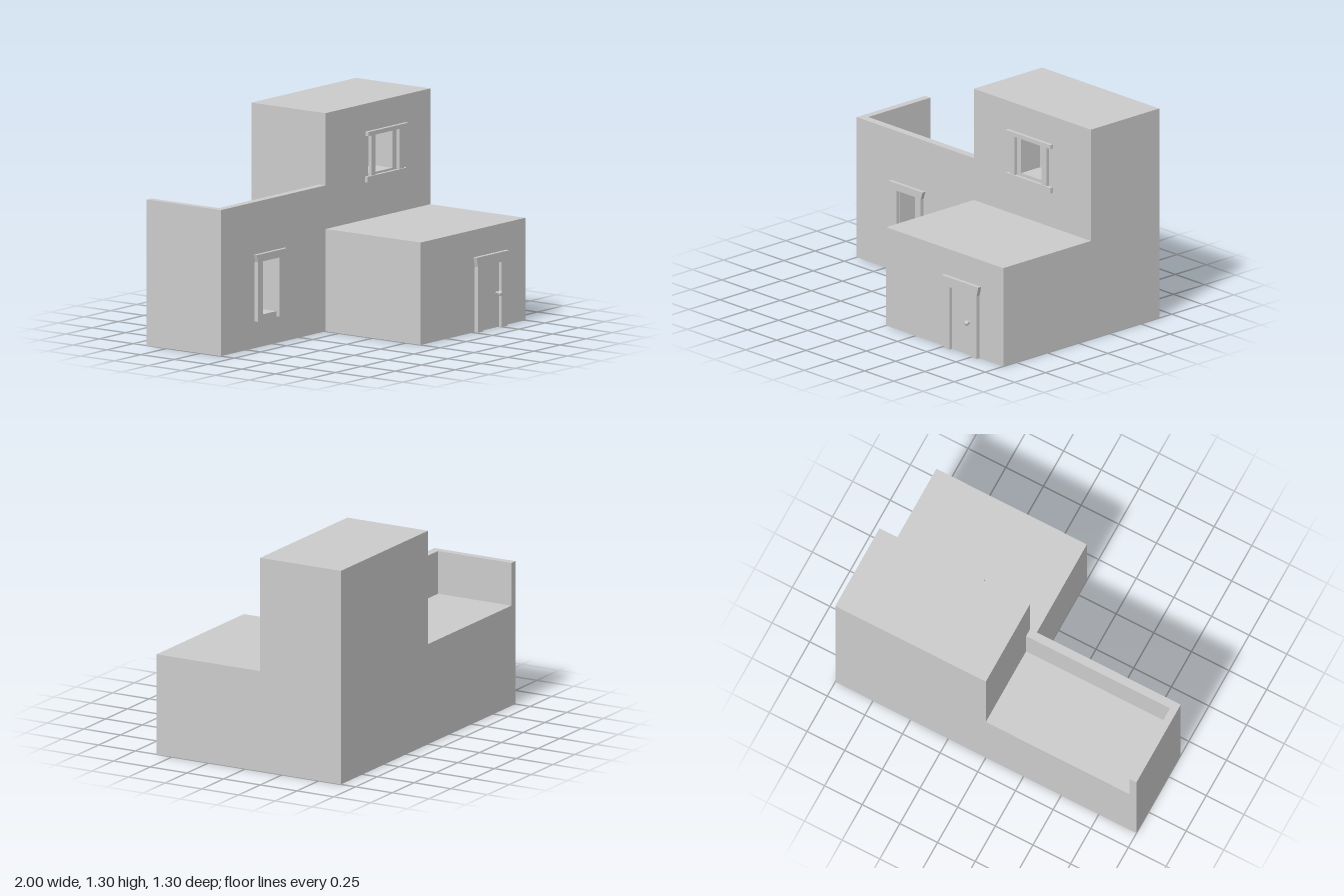
import * as THREE from 'three';

const material = new THREE.MeshStandardMaterial({ color: 0xcccccc, flatShading: true });

export function createModel() {
  const house = new THREE.Group();
  house.name = 'house';

  const add = (name, geometry, parent = house) => {
    const mesh = new THREE.Mesh(geometry, material);
    mesh.name = name;
    parent.add(mesh);
    return mesh;
  };

  // Box given by its limits on each axis
  const block = (name, [x0, x1], [y0, y1], [z0, z1], parent) => {
    const mesh = add(name, new THREE.BoxGeometry(x1 - x0, y1 - y0, z1 - z0), parent);
    mesh.position.set((x0 + x1) / 2, (y0 + y1) / 2, (z0 + z1) / 2);
    return mesh;
  };

  // Upright slab from an outline, with an optional rectangular opening
  const slab = (name, points, [z0, z1], opening, parent) => {
    const toPoints = (list) => list.map(([x, y]) => new THREE.Vector2(x, y));
    const shape = new THREE.Shape(toPoints(points));
    if (opening) {
      const [x0, x1, y0, y1] = opening;
      shape.holes.push(new THREE.Path(toPoints([[x0, y0], [x0, y1], [x1, y1], [x1, y0]])));
    }
    const geometry = new THREE.ExtrudeGeometry(shape, { depth: z1 - z0, bevelEnabled: false });
    geometry.translate(0, 0, z0);
    return add(name, geometry, parent);
  };

  const rect = (x0, x1, y0, y1) => [[x0, y0], [x1, y0], [x1, y1], [x0, y1]];

  // Lintel that flares outwards towards the top
  const lintel = (x0, x1, y0, y1, flare, z, parent) =>
    slab('lintel', [[x0 + flare, y0], [x1 - flare, y0], [x1, y1], [x0, y1]], z, null, parent);

  const frame = (name) => {
    const group = new THREE.Group();
    group.name = name;
    house.add(group);
    return group;
  };

  const roof = 0.61, back = -0.65, front = -0.1, recess = -0.25;

  // Walls: deep window recesses are cut into the front slabs
  block('terraceWingBody', [-1, 0], [0, roof], [back, recess]);
  slab('terraceWingFrontWall', rect(-1, 0, 0, roof), [recess, front], [-0.63, -0.47, 0.19, 0.515]);
  block('towerBody', [0, 1], [0, 1.3], [back, recess]);
  slab('towerFrontWall', rect(0, 1, 0, 1.3), [recess, front], [0.405, 0.64, 0.88, 1.12]);
  block('entranceWing', [0, 1], [0, roof], [front, 0.605]);

  // Terrace parapet, open at the back
  block('frontParapet', [-1, 0], [roof, 0.87], [-0.15, front]);
  block('sideParapet', [-1, -0.955], [roof, 0.87], [back, -0.15]);

  // Ground floor window surround
  const lowerWindow = frame('lowerWindowFrame');
  for (const x of [[-0.68, -0.63], [-0.472, -0.427]])
    block('jamb', x, [0.16, 0.515], [-0.097, -0.073], lowerWindow);
  lintel(-0.695, -0.405, 0.515, 0.56, 0.015, [-0.092, -0.07], lowerWindow);

  // Upper window surround, standing slightly clear of the wall
  const upperWindow = frame('upperWindowFrame');
  for (const x of [[0.367, 0.406], [0.637, 0.678]])
    block('jamb', x, [0.88, 1.12], [-0.067, -0.046], upperWindow);
  block('lintel', [0.332, 0.716], [1.12, 1.145], [-0.063, -0.041], upperWindow);
  block('sill', [0.332, 0.712], [0.843, 0.878], [-0.066, -0.045], upperWindow);

  // Door surround, door leaf and knob
  const door = frame('entranceDoor');
  for (const x of [[0.515, 0.567], [0.742, 0.797]])
    block('jamb', x, [0, 0.39], [0.606, 0.63], door);
  lintel(0.5, 0.815, 0.39, 0.448, 0.014, [0.608, 0.632], door);
  block('doorLeaf', [0.567, 0.742], [0, 0.39], [0.595, 0.608], door);
  const stem = add('knobStem', new THREE.CylinderGeometry(0.006, 0.008, 0.03, 12), door);
  stem.rotation.x = Math.PI / 2;
  stem.position.set(0.72, 0.206, 0.62);
  add('doorKnob', new THREE.SphereGeometry(0.015, 14, 10), door).position.set(0.72, 0.206, 0.635);

  return house;
}
